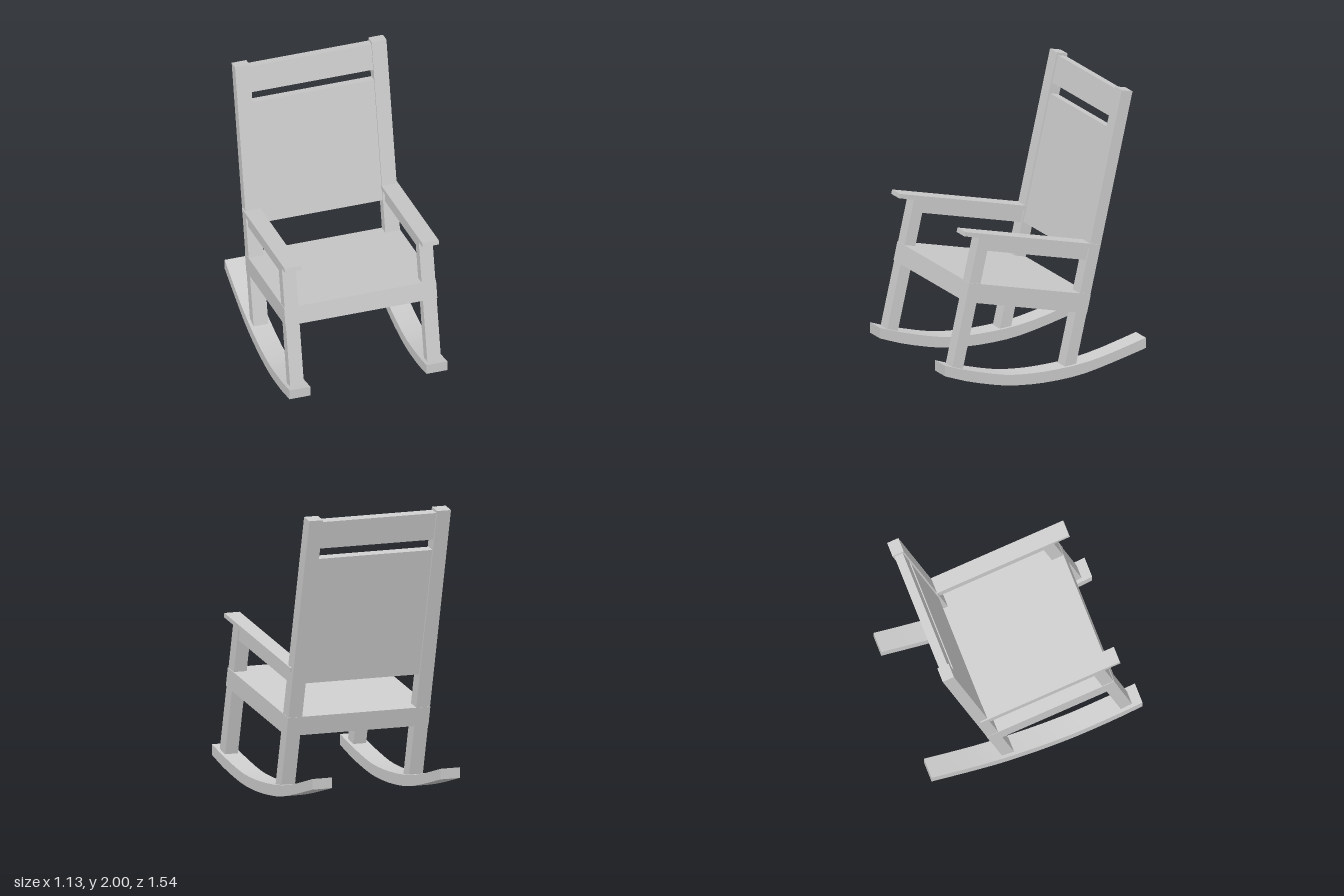
import * as THREE from 'three';
import { toCreasedNormals } from 'three/addons/utils/BufferGeometryUtils.js';

const TILT = -0.2253; // whole frame leans back on the rockers

export function createModel() {
  const model = new THREE.Group();
  model.name = 'rockingChair';
  const material = new THREE.MeshStandardMaterial({ color: 0xcccccc });

  const frame = new THREE.Group();
  frame.name = 'tiltedFrame';
  frame.rotation.x = TILT;
  model.add(frame);

  // box given by its [min, max] extents in the leaning frame
  function board(name, [x0, x1], [y0, y1], [z0, z1]) {
    const mesh = new THREE.Mesh(new THREE.BoxGeometry(x1 - x0, y1 - y0, z1 - z0), material);
    mesh.name = name;
    mesh.position.set((x0 + x1) / 2, (y0 + y1) / 2, (z0 + z1) / 2);
    frame.add(mesh);
  }

  // seat and back
  board('seat', [-0.542, 0.542], [0.504, 0.639], [-0.222, 0.733]);
  board('backPanel', [-0.44, 0.44], [0.88, 1.794], [-0.21, -0.148]);
  board('headRail', [-0.44, 0.44], [1.87, 2.065], [-0.21, -0.148]);

  // curved rocker profile, extruded across its width
  const toVectors = (points) => points.map(([z, y]) => new THREE.Vector2(z, y));
  const bottom = new THREE.SplineCurve(toVectors([
    [0.77, 0.153], [0.58, 0.087], [0.35, 0.03], [0.2, 0.009], [0, 0],
    [-0.25, 0.015], [-0.48, 0.062], [-0.77, 0.138]]));
  const top = new THREE.SplineCurve(toVectors([
    [-0.77, 0.212], [-0.48, 0.134], [-0.25, 0.093], [0, 0.079],
    [0.19, 0.085], [0.35, 0.107], [0.6, 0.172], [0.77, 0.228]]));
  const profile = new THREE.Shape([...bottom.getPoints(16), ...top.getPoints(16)]);
  const width = 0.149;
  const rockerGeometry = toCreasedNormals(
    new THREE.ExtrudeGeometry(profile, { depth: width, bevelEnabled: false })
      .translate(0, 0, -width / 2).rotateY(-Math.PI / 2), 0.5);

  for (const [side, s] of [['left', 1], ['right', -1]]) {
    const span = (a, b) => (s > 0 ? [a, b] : [-b, -a]);
    board(side + 'BackPost', span(0.435, 0.54), [0.09, 2.083], [-0.22, -0.136]);
    board(side + 'FrontLeg', span(0.44, 0.538), [0.01, 0.964], [0.645, 0.73]);
    board(side + 'Armrest', span(0.432, 0.55), [0.963, 0.994], [-0.19, 0.852]);
    board(side + 'ArmRail', span(0.45, 0.528), [0.873, 0.964], [-0.14, 0.65]);

    const rocker = new THREE.Mesh(rockerGeometry, material);
    rocker.name = side + 'Rocker';
    rocker.position.x = s * 0.4885;
    model.add(rocker);
  }
  return model;
}
